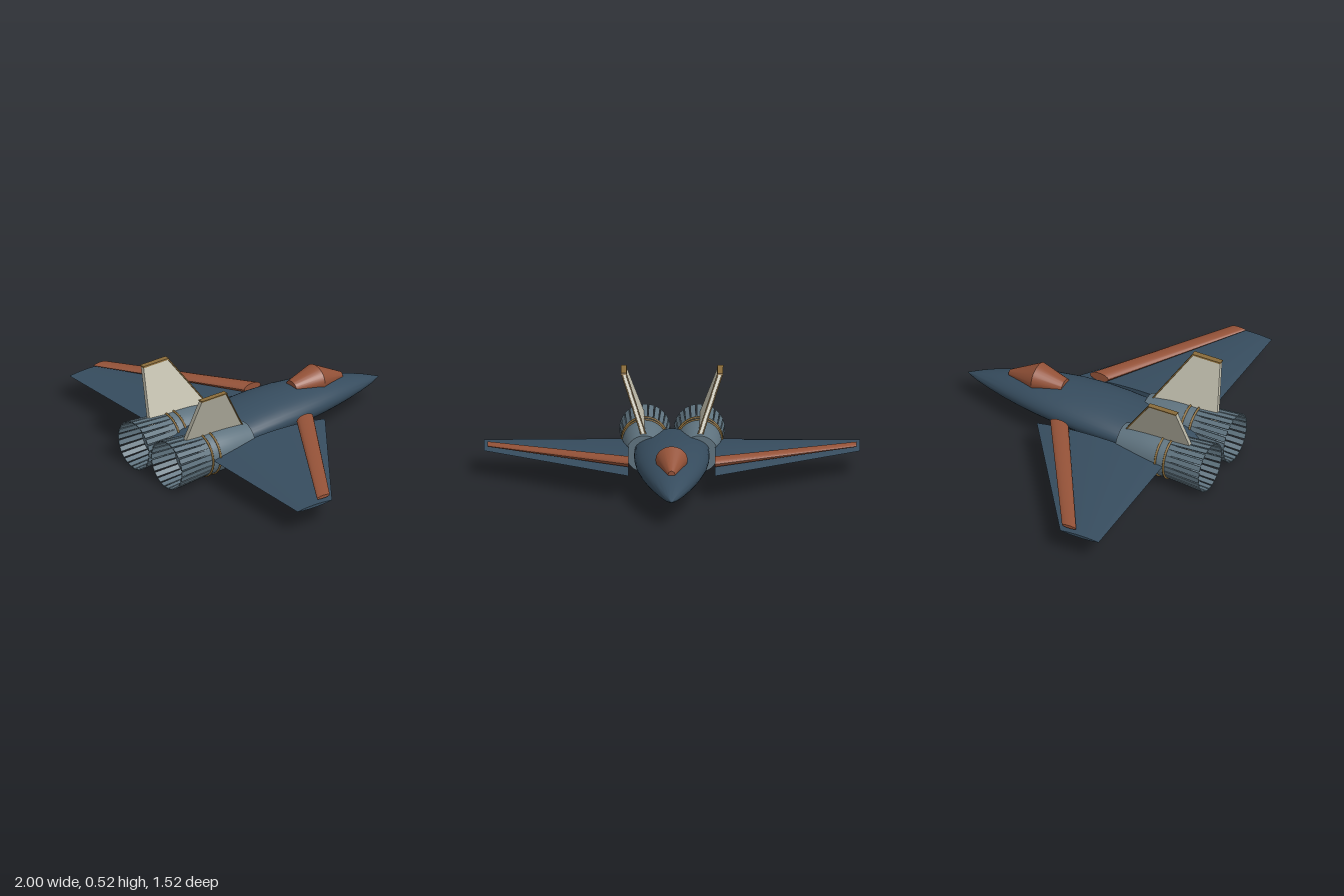
import * as THREE from 'three';
import { toCreasedNormals } from 'three/addons/utils/BufferGeometryUtils.js';

const mat = (name, color) => new THREE.MeshStandardMaterial({ name, color });

// Skin equal-length closed rings of [x, y, z] points, cap both ends, face outwards
function loft(rings, crease = 0.6) {
  const n = rings[0].length;
  const pts = rings.flat().map(p => new THREE.Vector3(...p));
  const tris = [];
  for (let r = 0; r < rings.length - 1; r++) {
    for (let i = 0; i < n; i++) {
      const a = r * n + i, b = r * n + (i + 1) % n;
      tris.push([a, b, b + n], [a, b + n, a + n]);
    }
  }
  const last = (rings.length - 1) * n;
  for (let i = 1; i < n - 1; i++) {
    tris.push([0, i + 1, i], [last, last + i, last + i + 1]);
  }
  let volume = 0;
  const cross = new THREE.Vector3();
  for (const [a, b, c] of tris) volume += pts[a].dot(cross.crossVectors(pts[b], pts[c]));
  if (volume < 0) tris.forEach(t => t.reverse());
  const geo = new THREE.BufferGeometry().setFromPoints(pts);
  geo.setIndex(tris.flat());
  return toCreasedNormals(geo, crease);
}

// Ellipse across the z axis
function oval(x, y, z, rx, ry, n = 40) {
  return Array.from({ length: n }, (_, i) => {
    const a = i / n * Math.PI * 2;
    return [x + rx * Math.cos(a), y + ry * Math.sin(a), z];
  });
}

// Ellipse across the x axis, between two z positions
function chord(x, y, z0, z1, h, n = 16) {
  return Array.from({ length: n }, (_, i) => {
    const a = i / n * Math.PI * 2;
    return [x, y + h * Math.sin(a), (z0 + z1) / 2 - (z1 - z0) / 2 * Math.cos(a)];
  });
}

// Biconvex wing section with sharp edges
function airfoil(x, y, z0, z1, h, n = 12) {
  return Array.from({ length: 2 * n }, (_, i) => {
    const t = i <= n ? i / n : 2 - i / n;
    const side = i <= n ? 1 : -1;
    return [x, y + side * h * Math.pow(Math.sin(Math.PI * t), 0.8), z0 + (z1 - z0) * t];
  });
}

function rod(a, b, r) {
  const path = new THREE.LineCurve3(new THREE.Vector3(...a), new THREE.Vector3(...b));
  return new THREE.TubeGeometry(path, 1, r, 8);
}

export function createModel() {
  const navy = mat('navy hull', 0x364c5e);
  const rust = mat('rust panel', 0x945238);
  const cream = mat('cream fin', 0xc2bfae);
  const steel = mat('steel engine', 0x5f737f);
  const brass = mat('brass trim', 0x8a6c3a);

  const model = new THREE.Group();
  const add = (name, geo, material, parent = model) => {
    const m = new THREE.Mesh(geo, material);
    m.name = name;
    parent.add(m);
    return m;
  };

  // Fuselage: z, half width, bottom, top
  const hull = [
    [-0.76, 0.002, 0.138, 0.142], [-0.73, 0.018, 0.129, 0.154], [-0.68, 0.042, 0.118, 0.174],
    [-0.6, 0.074, 0.107, 0.2], [-0.5, 0.108, 0.096, 0.225], [-0.4, 0.137, 0.088, 0.243],
    [-0.3, 0.161, 0.082, 0.255], [-0.15, 0.187, 0.076, 0.264], [0, 0.199, 0.075, 0.263],
    [0.12, 0.201, 0.076, 0.254], [0.25, 0.198, 0.08, 0.238], [0.4, 0.175, 0.085, 0.221],
    [0.52, 0.14, 0.093, 0.203], [0.58, 0.105, 0.103, 0.187], [0.61, 0.06, 0.12, 0.165],
  ];
  add('fuselage', loft(hull.map(([z, w, lo, hi]) => oval(0, (lo + hi) / 2, z, w, (hi - lo) / 2))), navy);

  // Faceted canopy with a flat back
  add('canopy', loft([
    oval(0, 0.225, -0.51, 0.018, 0.02), oval(0, 0.262, -0.34, 0.085, 0.073),
    oval(0, 0.255, -0.18, 0.045, 0.033),
  ], 0.3), rust);

  for (const s of [1, -1]) {
    const side = s > 0 ? 'left' : 'right';

    // Wing and its raised leading edge strip
    add(side + 'Wing', loft([
      airfoil(s * 0.23, 0.143, -0.23, 0.54, 0.036), airfoil(s, 0.137, 0.31, 0.54, 0.008),
    ]), navy);
    add(side + 'WingStrip', loft([
      chord(s * 0.23, 0.186, -0.15, -0.04, 0.026), chord(s * 0.98, 0.162, 0.31, 0.395, 0.009),
    ]), rust);

    // Engine, built around its own axis
    const engine = new THREE.Group();
    engine.name = side + 'Engine';
    engine.position.set(s * 0.145, 0.137, 0);
    model.add(engine);
    const shell = [[0.245, 0.1], [0.3, 0.107], [0.38, 0.117], [0.46, 0.121], [0.55, 0.119], [0.62, 0.115]];
    add('engineBody', loft(shell.map(([z, r]) => oval(0, 0, z, r, r))), steel, engine);
    for (const z of [0.495, 0.545]) {
      const ring = add('engineRing', new THREE.TorusGeometry(0.122, 0.006, 8, 48), brass, engine);
      ring.position.z = z;
    }

    // Flared nozzle petals with open gaps between them
    const petalGeo = loft([[0.55, 0.114], [0.765, 0.13]].map(([z, r]) => [
      [-0.0135, r, z], [0.0135, r, z], [0.0135, r + 0.006, z], [-0.0135, r + 0.006, z],
    ]));
    const count = 24;
    for (let i = 0; i < count; i++) {
      add('nozzlePetal', petalGeo, steel, engine).rotation.z = i / count * Math.PI * 2;
    }

    // Canted tail fin
    const plate = (x, y, z0, z1, t) => [
      [s * (x - t), y, z0], [s * (x + t), y, z0], [s * (x + t), y, z1], [s * (x - t), y, z1],
    ];
    add(side + 'Fin', loft([
      plate(0.145, 0.22, 0.26, 0.66, 0.012), plate(0.255, 0.517, 0.455, 0.622, 0.012),
    ], 0.3), cream);
    add(side + 'FinCap', loft([
      plate(0.255, 0.517, 0.452, 0.624, 0.015), plate(0.257, 0.525, 0.455, 0.624, 0.015),
    ], 0.3), brass);
    // Trim rails on both sides of the leading edge
    for (const d of [-0.012, 0.012]) {
      add(side + 'FinEdge', rod([s * (0.145 + d), 0.22, 0.262], [s * (0.255 + d), 0.518, 0.457], 0.004), brass);
    }
  }
  return model;
}
